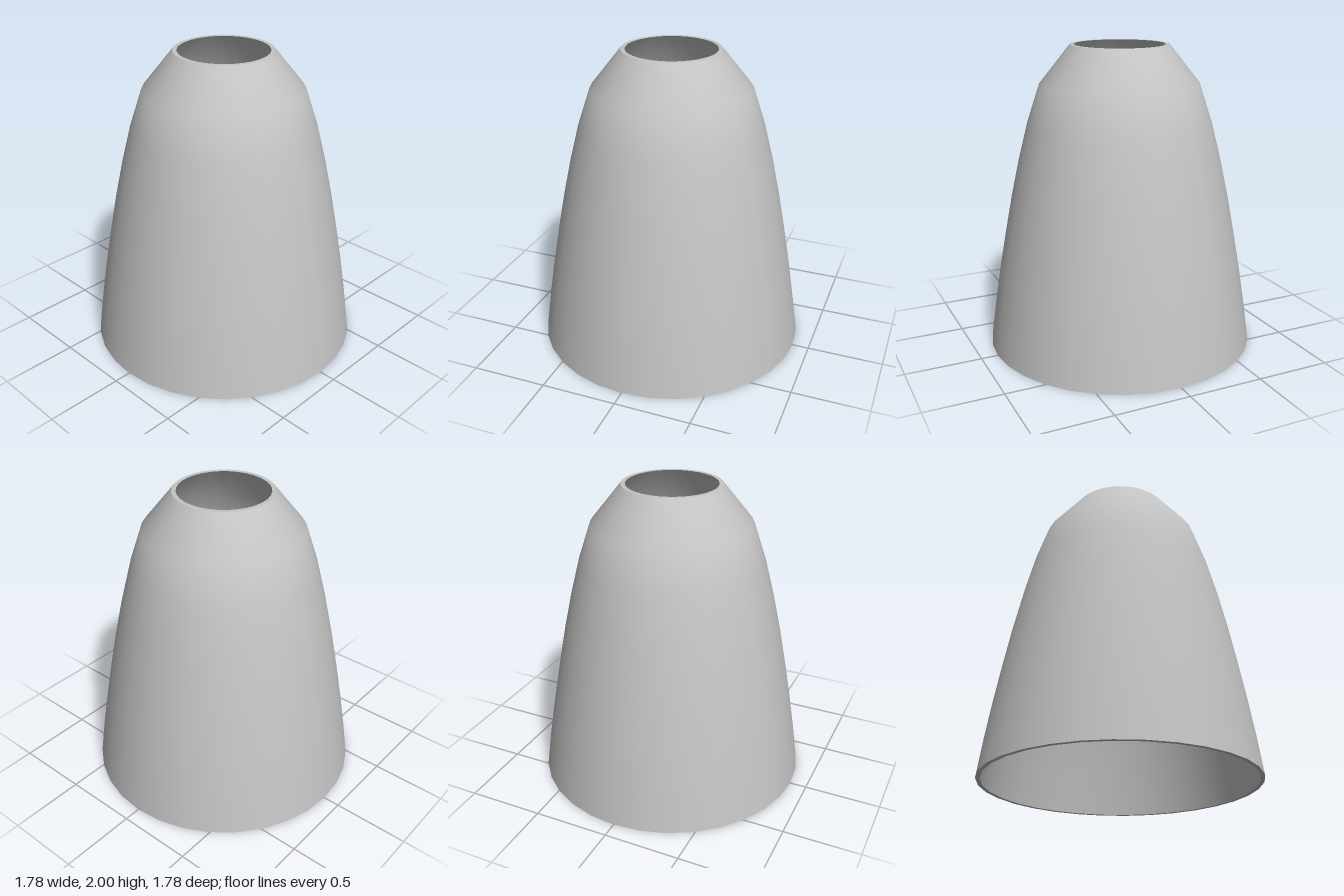
import * as THREE from 'three';

// Revolves a list of [radius, height] points; upward runs face outward.
function revolve(name, points, material) {
  const profile = points.map(([r, y]) => new THREE.Vector2(r, y));
  const mesh = new THREE.Mesh(new THREE.LatheGeometry(profile, 32), material);
  mesh.name = name;
  return mesh;
}

export function createModel() {
  const group = new THREE.Group();
  group.name = 'shade';
  const grey = new THREE.MeshStandardMaterial({ color: 0xc4c4c4 });
  grey.name = 'light grey';

  // Bell profile, from the wide mouth up to the collar
  const outer = [
    [0.89, 0], [0.855, 0.25], [0.815, 0.5], [0.77, 0.75], [0.722, 1],
    [0.667, 1.25], [0.603, 1.5], [0.52, 1.75], [0.32, 2],
  ];
  const wall = 0.027;
  const inner = outer.map(([r, y]) => [r - wall, y]).reverse();

  group.add(
    revolve('outerWall', outer, grey),
    revolve('innerWall', inner, grey),
    // Flat rims joining the two walls
    revolve('topRim', [outer[outer.length - 1], inner[0]], grey),
    revolve('bottomRim', [inner[inner.length - 1], outer[0]], grey),
  );
  return group;
}
